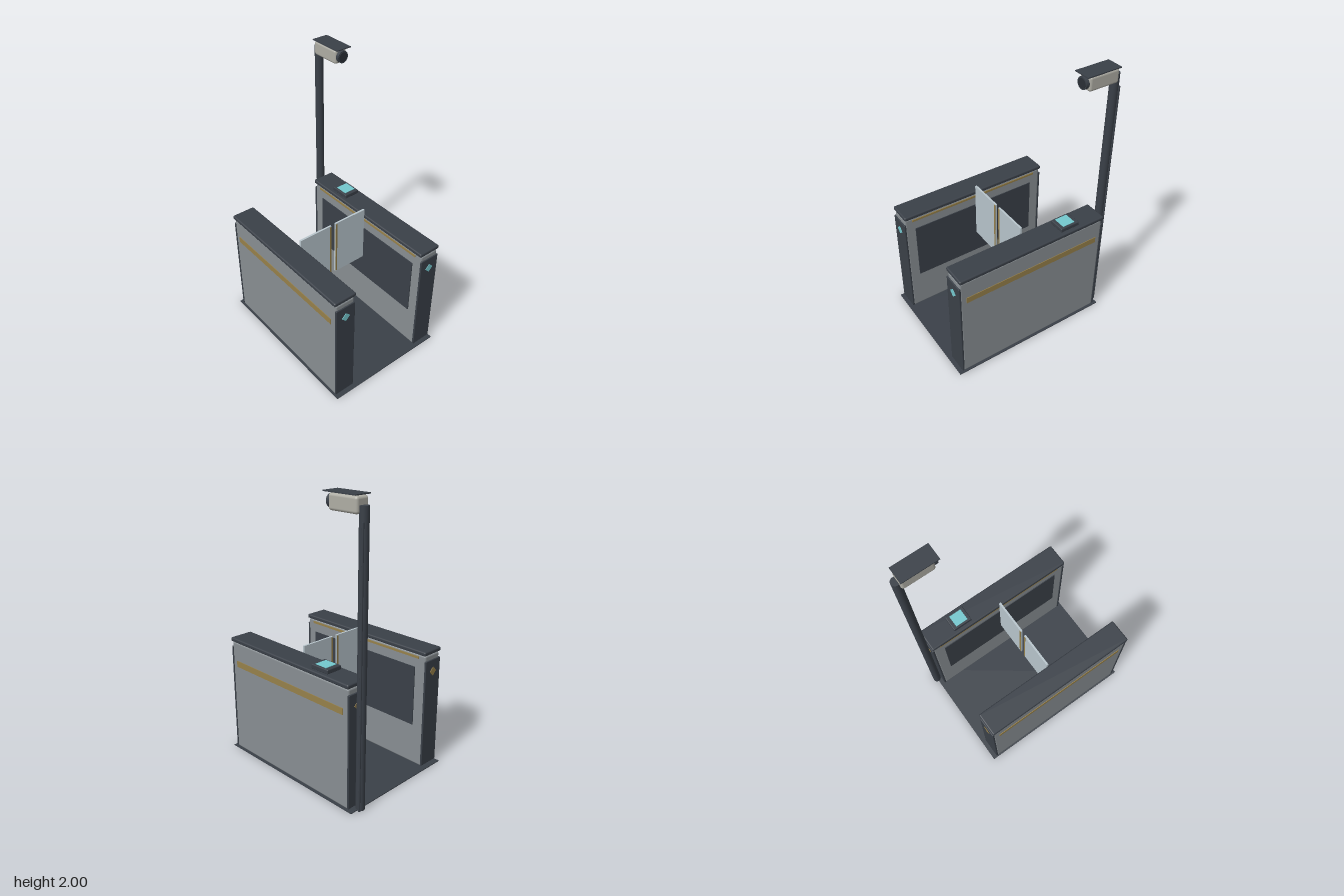
import * as THREE from 'three';
import { RoundedBoxGeometry } from 'three/addons/geometries/RoundedBoxGeometry.js';

function material(name, color) {
  const m = new THREE.MeshStandardMaterial({ color });
  m.name = name;
  return m;
}

export function createModel() {
  const dark = material('charcoal', 0x3a4048);
  const steel = material('brushed steel', 0x888e92);
  const gold = material('muted gold', 0x96804a);
  const teal = material('teal light', 0x74c8ce);
  const glass = material('pale glass', 0xb8c5cc);
  const shell = material('camera grey', 0xaeada4);
  const black = material('lens black', 0x2a2f36);

  const model = new THREE.Group();
  model.name = 'securityGate';

  function add(parent, name, geometry, mat, x, y, z) {
    const mesh = new THREE.Mesh(geometry, mat);
    mesh.name = name;
    mesh.position.set(x, y, z);
    parent.add(mesh);
    return mesh;
  }
  // Box given by its min and max on each axis; r rounds the edges
  function box(parent, name, mat, [x0, x1], [y0, y1], [z0, z1], r = 0) {
    const w = x1 - x0, h = y1 - y0, d = z1 - z0;
    const g = r ? new RoundedBoxGeometry(w, h, d, 3, r) : new THREE.BoxGeometry(w, h, d);
    return add(parent, name, g, mat, (x0 + x1) / 2, (y0 + y1) / 2, (z0 + z1) / 2);
  }

  box(model, 'floorPlate', dark, [-0.457, 0.453], [0, 0.006], [-0.6, 0.625]);

  // Two mirrored cabinets, each with one glass wing
  for (const side of [1, -1]) {
    const cabinet = new THREE.Group();
    cabinet.name = side > 0 ? 'leftCabinet' : 'rightCabinet';
    cabinet.position.x = -0.002;
    model.add(cabinet);
    const span = (a, b) => (side > 0 ? [a, b] : [-b, -a]);

    box(cabinet, 'body', steel, span(0.295, 0.445), [0.008, 0.848], [-0.56, 0.591], 0.014);
    box(cabinet, 'lidNeck', dark, span(0.3, 0.44), [0.842, 0.856], [-0.55, 0.58]);
    box(cabinet, 'lid', dark, span(0.282, 0.456), [0.85, 0.88], [-0.566, 0.595], 0.01);
    box(cabinet, 'frontPanel', dark, span(0.293, 0.447), [0.015, 0.81], [0.584, 0.599], 0.004);
    box(cabinet, 'backPanel', dark, span(0.293, 0.447), [0.015, 0.81], [-0.569, -0.554], 0.004);
    box(cabinet, 'innerPanel', dark, span(0.289, 0.297), [0.31, 0.75], [-0.475, 0.515]);
    box(cabinet, 'outerStripe', gold, span(0.441, 0.449), [0.665, 0.71], [-0.515, 0.545]);
    box(cabinet, 'innerLightStrip', gold, span(0.29, 0.298), [0.818, 0.834], [-0.505, 0.535]);

    // Diamond signs: teal at the entry, gold at the exit
    for (const [name, mat, z] of [['entrySign', teal, 0.599], ['exitSign', gold, -0.569]]) {
      const sign = add(cabinet, name, new THREE.BoxGeometry(0.047, 0.047, 0.006), mat, side * 0.37, 0.725, z);
      sign.rotation.z = Math.PI / 4;
    }

    // Glass wing with its gold edge band
    box(cabinet, 'glassWing', glass, span(0.018, 0.284), [0.49, 0.926], [0.006, 0.02]);
    box(cabinet, 'wingEdgeBand', gold, span(0.0195, 0.033), [0.496, 0.92], [0.0045, 0.0215]);
  }

  // Card reader on the left lid
  box(model, 'readerBase', dark, [0.307, 0.427], [0.878, 0.909], [-0.364, -0.216], 0.006);
  box(model, 'readerScreen', teal, [0.321, 0.412], [0.906, 0.912], [-0.336, -0.241]);

  // Camera post with cable conduit
  add(model, 'post', new THREE.CylinderGeometry(0.03, 0.03, 1.938, 32), dark, 0.367, 0.969, -0.598);
  add(model, 'conduit', new THREE.CylinderGeometry(0.007, 0.007, 1.85, 12), dark, 0.396, 0.925, -0.616);

  // Camera
  const camera = new THREE.Group();
  camera.name = 'camera';
  model.add(camera);
  box(camera, 'housing', shell, [0.317, 0.417], [1.888, 1.988], [-0.588, -0.36], 0.018);
  box(camera, 'roofMount', shell, [0.345, 0.389], [1.98, 1.996], [-0.54, -0.41]);
  box(camera, 'sunRoof', dark, [0.307, 0.427], [1.993, 2], [-0.588, -0.33]);
  const barrel = add(camera, 'lensBarrel', new THREE.CylinderGeometry(0.042, 0.042, 0.03, 32), dark, 0.367, 1.938, -0.353);
  const lens = add(camera, 'lens', new THREE.CylinderGeometry(0.033, 0.033, 0.004, 32), black, 0.367, 1.938, -0.337);
  barrel.rotation.x = lens.rotation.x = Math.PI / 2;

  return model;
}
